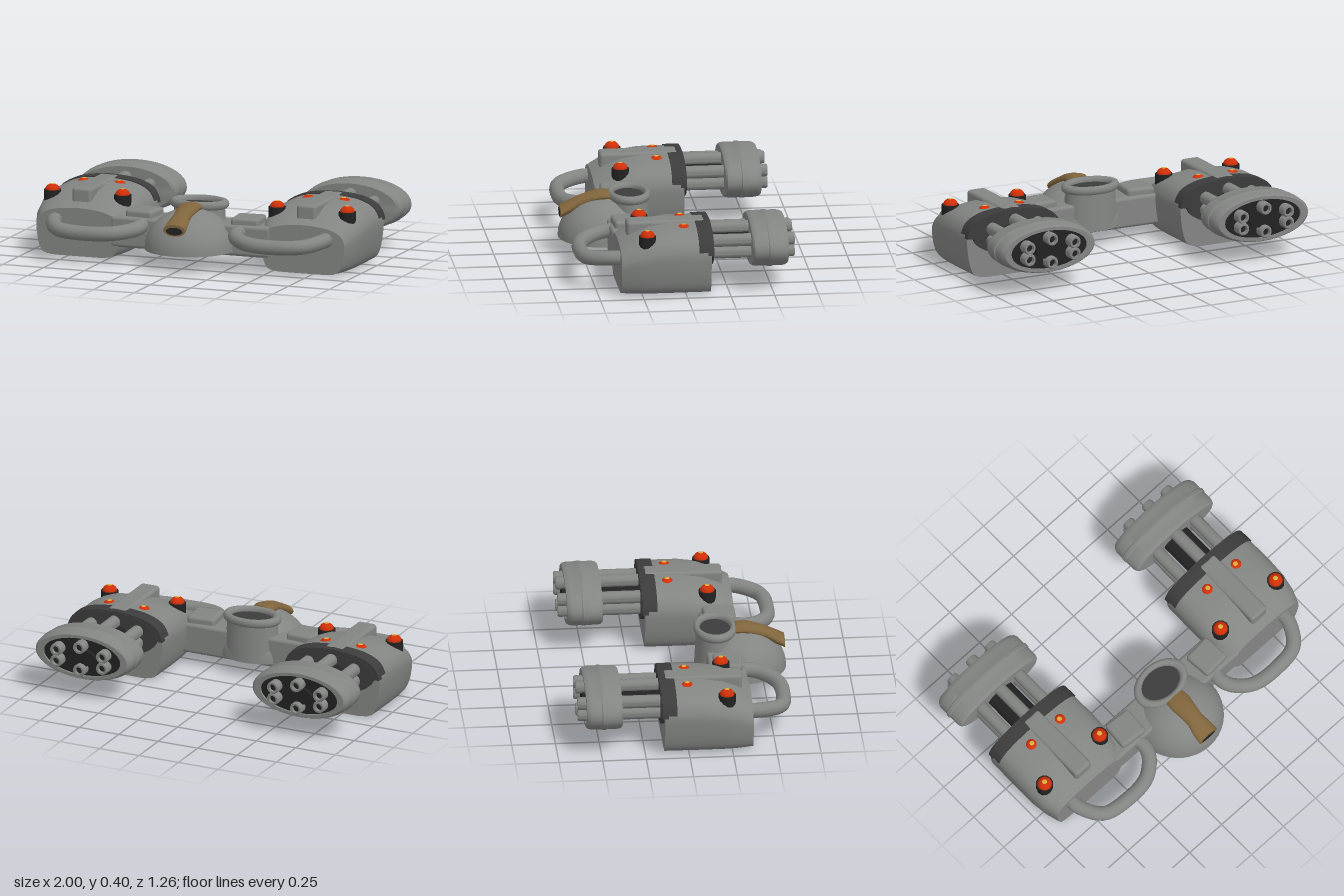
import * as THREE from 'three';
import { toCreasedNormals } from 'three/addons/utils/BufferGeometryUtils.js';
import { RoundedBoxGeometry } from 'three/addons/geometries/RoundedBoxGeometry.js';

const paint = (name, color) => {
  const m = new THREE.MeshStandardMaterial({ color });
  m.name = name;
  return m;
};

// Surface through closed rings (anticlockwise seen from +z, ordered by rising z), ends capped
function loft(rings) {
  const n = rings[0].length, pos = [], idx = [];
  rings.forEach(r => r.forEach(p => pos.push(...p)));
  for (let i = 0; i < rings.length - 1; i++) for (let j = 0; j < n; j++) {
    const k = (j + 1) % n, a = i * n + j, b = i * n + k;
    idx.push(a, b, b + n, a, b + n, a + n);
  }
  [0, rings.length - 1].forEach(i => {
    const c = pos.length / 3;
    pos.push(...[0, 1, 2].map(d => rings[i].reduce((s, p) => s + p[d], 0) / n));
    for (let j = 0; j < n; j++) {
      const a = i * n + j, b = i * n + (j + 1) % n;
      idx.push(...(i ? [c, a, b] : [c, b, a]));
    }
  });
  const g = new THREE.BufferGeometry();
  g.setAttribute('position', new THREE.Float32BufferAttribute(pos, 3));
  g.setIndex(idx);
  return toCreasedNormals(g.toNonIndexed(), 0.6);
}

// Lathe around the gun axis; profile is [radius, distance backwards], then squashed to an ellipse
function turned(profile, sides, sx = 1, sy = 1) {
  const g = new THREE.LatheGeometry(profile.map(p => new THREE.Vector2(...p)), sides);
  g.rotateX(-Math.PI / 2).scale(sx, sy, 1);
  return toCreasedNormals(g.toNonIndexed(), 0.6);
}

// Half outline of a pod section: [share of half width, share of height]
const half = new THREE.SplineCurve([
  [0.55, 0], [0.82, 0.045], [0.94, 0.22], [1, 0.56], [0.97, 0.72],
  [0.85, 0.855], [0.6, 0.945], [0.3, 0.985], [0, 1],
].map(p => new THREE.Vector2(...p))).getPoints(24);
const outline = [...half, ...half.slice(0, -1).reverse().map(p => new THREE.Vector2(-p.x, p.y))];
const section = (z, w, h, pts = outline) => pts.map(p => [p.x * w, p.y * h, z]);

export function createModel() {
  const model = new THREE.Group();
  model.name = 'twinGunRig';
  const grey = paint('grey metal', 0x838583);
  const dark = paint('dark grey metal', 0x3c3c3c);
  const black = paint('black metal', 0x222222);
  const red = paint('red lamp', 0xd03008);
  const yellow = paint('yellow lamp spot', 0xd8b040);
  const brown = paint('brown grip', 0x80653c);

  const add = (parent, name, geo, mat, x = 0, y = 0, z = 0) => {
    const m = new THREE.Mesh(geo, mat);
    m.name = name;
    m.position.set(x, y, z);
    parent.add(m);
    return m;
  };

  // Shared gun geometries
  const bodyGeo = loft([
    section(-0.14, 0.297, 0.38), section(0.08, 0.3, 0.378),
    section(0.2, 0.297, 0.36), section(0.29, 0.283, 0.325), section(0.37, 0.255, 0.28),
  ]);
  const upper = outline.filter(p => p.y > 0.66);
  const collarGeo = loft([
    section(-0.155, 0.3, 0.385, outline.filter(p => p.y > 0.61)).slice(0),
    section(-0.12, 0.302, 0.386, outline.filter(p => p.y > 0.61)),
  ]);
  const collarFrontGeo = loft([section(-0.12, 0.302, 0.386, upper), section(-0.07, 0.303, 0.385, upper)]);
  const drumGeo = turned([
    [0, 0.38], [0.93, 0.38], [0.98, 0.39], [1, 0.41], [1, 0.47], [1.02, 0.475], [1.02, 0.495],
    [1, 0.5], [1, 0.555], [0.97, 0.575], [0.93, 0.585], [0.8, 0.585], [0.8, 0.565], [0, 0.565],
  ], 40, 0.305, 0.14);
  const drumFaceGeo = turned([[0.8, 0.564], [0.8, 0.572], [0, 0.572]], 40, 0.305, 0.14);
  const plateGeo = turned([[1, 0.13], [1, 0.158], [0, 0.158]], 32, 0.265, 0.125);
  const coreGeo = turned([[1, 0.14], [1, 0.597], [0, 0.597]], 20, 0.09, 0.05);
  const barrelGeo = turned([[0.037, 0.14], [0.037, 0.622], [0.033, 0.63], [0.022, 0.63], [0.022, 0.6]], 14);
  const boreGeo = turned([[0.023, 0.6], [0.023, 0.607], [0, 0.607]], 14);

  // Warning lamp: cup, dome and bright spot
  const cupGeo = new THREE.CylinderGeometry(0.05, 0.05, 0.07, 12);
  const domeGeo = new THREE.SphereGeometry(0.042, 16, 6, 0, Math.PI * 2, 0, Math.PI / 2).scale(1, 0.8, 1);
  const spotGeo = new THREE.SphereGeometry(0.043, 10, 3, 0, Math.PI * 2, 0, 0.34).scale(1, 0.81, 1);
  const lamp = (parent, x, y, z) => {
    const g = new THREE.Group();
    g.name = 'warningLamp';
    g.position.set(x, y, z);
    add(g, 'lampCup', cupGeo, black, 0, -0.035, 0);
    add(g, 'lampDome', domeGeo, red);
    add(g, 'lampSpot', spotGeo, yellow);
    parent.add(g);
  };

  for (const s of [1, -1]) {
    const side = s > 0 ? 'left' : 'right';
    const gun = new THREE.Group();
    gun.name = side + 'Gun';
    gun.position.x = s * 0.688;
    model.add(gun);

    // Housing with rear collar and top spine
    add(gun, 'housing', bodyGeo, grey);
    add(gun, 'rearCollar', collarGeo, dark);
    add(gun, 'rearCollarFront', collarFrontGeo, dark);
    add(gun, 'topSpine', new RoundedBoxGeometry(0.12, 0.1, 0.45, 3, 0.02), grey, 0, 0.338, 0.095);
    for (const t of [1, -1]) {
      lamp(gun, t * 0.108, 0.348, 0);
      lamp(gun, t * 0.215, 0.347, 0.22);
    }

    // Rotary barrels
    const cluster = new THREE.Group();
    cluster.name = 'barrelCluster';
    cluster.position.y = 0.253;
    gun.add(cluster);
    add(cluster, 'mountPlate', plateGeo, dark);
    add(cluster, 'core', coreGeo, black);
    add(cluster, 'drum', drumGeo, grey);
    add(cluster, 'drumFace', drumFaceGeo, black);
    for (let i = 0; i < 6; i++) {
      const a = Math.PI / 2 + i * Math.PI / 3, x = 0.168 * Math.cos(a), y = 0.069 * Math.sin(a);
      add(cluster, 'barrel', barrelGeo, grey, x, y);
      add(cluster, 'bore', boreGeo, black, x, y);
    }

    // Curved handle in front of the housing
    const path = new THREE.CatmullRomCurve3([
      [0.83, 0.205, 0.32], [0.82, 0.2, 0.42], [0.74, 0.185, 0.54], [0.58, 0.178, 0.568],
      [0.42, 0.183, 0.55], [0.32, 0.195, 0.47], [0.295, 0.205, 0.4], [0.31, 0.21, 0.32],
    ].map(([x, y, z]) => new THREE.Vector3(s * x, y, z)));
    add(model, side + 'Handle', new THREE.TubeGeometry(path, 32, 0.043, 12), grey);

    // Raised pad on the crossbar
    const pad = add(model, side + 'Pad', new RoundedBoxGeometry(0.17, 0.1, 0.17, 3, 0.02), grey, s * 0.318, 0.24, 0.27);
    pad.rotation.y = s * 0.08;
  }

  // Crossbar joining the guns
  add(model, 'crossbar', new RoundedBoxGeometry(0.98, 0.18, 0.21, 3, 0.02), grey, 0, 0.16, 0.27);

  // Central dome with flat underside
  const domeProfile = [new THREE.Vector2(0, 0)];
  for (let i = 0; i <= 12; i++) {
    const a = i * Math.PI / 24;
    domeProfile.push(new THREE.Vector2(0.262 * Math.cos(a), 0.235 * Math.sin(a)));
  }
  add(model, 'centralDome', toCreasedNormals(new THREE.LatheGeometry(domeProfile, 40).toNonIndexed(), 0.6),
    grey, 0, 0.095, 0.37);

  // Neck, rim and dark opening
  add(model, 'neck', new THREE.CylinderGeometry(0.15, 0.165, 0.22, 32).scale(1, 1, 0.72), grey, 0, 0.21, 0.225);
  add(model, 'neckRim', new THREE.TorusGeometry(0.15, 0.026, 12, 40).rotateX(Math.PI / 2).scale(1, 1, 0.7),
    grey, 0, 0.335, 0.225);
  add(model, 'neckOpening', new THREE.CylinderGeometry(0.145, 0.145, 0.008, 32).scale(1, 1, 0.7), dark, 0, 0.327, 0.225);

  // Waisted grip over the dome, with a dark open end: [z, top, half width, half height]
  const grip = [
    [0.34, 0.362, 0.062, 0.03], [0.39, 0.367, 0.066, 0.032], [0.45, 0.355, 0.058, 0.034],
    [0.51, 0.335, 0.052, 0.036], [0.57, 0.305, 0.064, 0.036], [0.622, 0.278, 0.068, 0.034],
  ].map(([z, top, w, h]) => Array.from({ length: 20 }, (_, i) => {
    const a = i * Math.PI / 10;
    return [w * Math.cos(a), top - h + h * Math.sin(a), z];
  }));
  add(model, 'grip', loft(grip), brown);
  add(model, 'gripOpening', new THREE.CircleGeometry(1, 20).scale(0.05, 0.022, 1), black, 0, 0.24, 0.624);

  return model;
}
